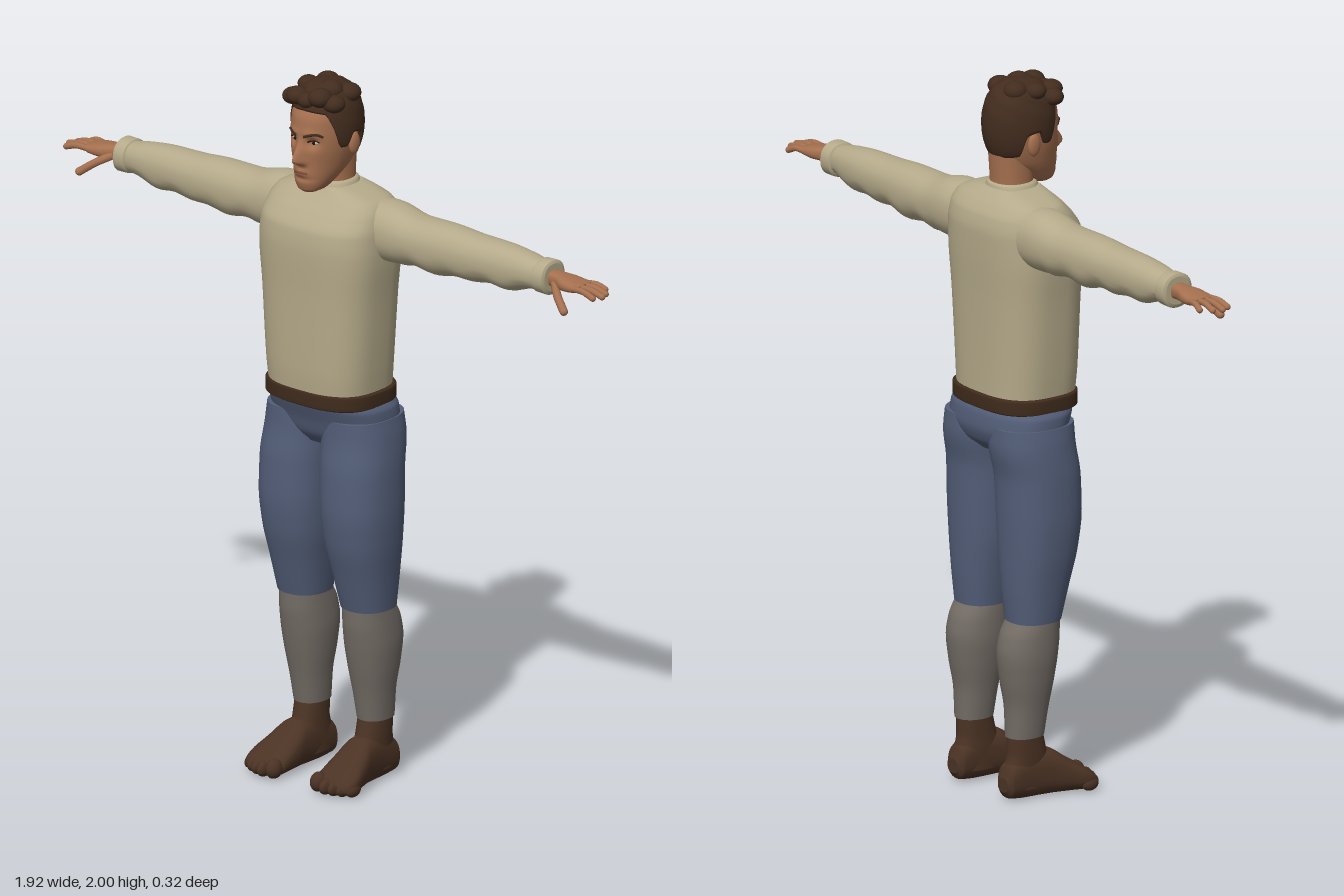
import * as THREE from 'three';

const mat = (name, color, side = THREE.FrontSide) => {
  const m = new THREE.MeshStandardMaterial({ color, side });
  m.name = name;
  return m;
};

// Smooth interpolation through rows keyed by their first column, without overshoot
function sample(rows, t) {
  let k = 0;
  while (k < rows.length - 2 && t > rows[k + 1][0]) k++;
  const slope = (i, c) => (rows[i + 1][c] - rows[i][c]) / (rows[i + 1][0] - rows[i][0]);
  const tangent = (i, c) => {
    if (i === 0) return slope(0, c);
    if (i === rows.length - 1) return slope(i - 1, c);
    const a = slope(i - 1, c), b = slope(i, c);
    return a * b <= 0 ? 0 : (2 * a * b) / (a + b);
  };
  const h = rows[k + 1][0] - rows[k][0], s = (t - rows[k][0]) / h, s2 = s * s, s3 = s2 * s;
  return rows[k].map((v, c) => c === 0 ? t
    : (2 * s3 - 3 * s2 + 1) * v + (s3 - 2 * s2 + s) * h * tangent(k, c)
      + (3 * s2 - 2 * s3) * rows[k + 1][c] + (s3 - s2) * h * tangent(k + 1, c));
}

// Skin rounded sections along an axis. Rows: y [y,x0,x1,z0,z1], x [x,y0,y1,z0,z1], z [z,x0,x1,y0,y1]
function loft(axis, rows, { power = 2.2, seg = 32, sub = 6, move } = {}) {
  const pos = [], idx = [], rings = (rows.length - 1) * sub + 1;
  const ring = (i) => {
    const k = Math.min(Math.floor(i / sub), rows.length - 2), f = (i - k * sub) / sub;
    const r = sample(rows, rows[k][0] + f * (rows[k + 1][0] - rows[k][0]));
    const [u0, u1, v0, v1] = axis === 'y' ? [r[3], r[4], r[1], r[2]] : r.slice(1);
    return { t: r[0], u: (u0 + u1) / 2, v: (v0 + v1) / 2, ru: (u1 - u0) / 2, rv: (v1 - v0) / 2 };
  };
  const put = (t, u, v) => {
    const p = axis === 'y' ? [v, t, u] : axis === 'x' ? [t, u, v] : [u, v, t];
    if (move) move(p);
    pos.push(...p);
  };
  const addRing = (r) => {
    for (let j = 0; j < seg; j++) {
      const a = (j / seg) * Math.PI * 2, c = Math.cos(a), s = Math.sin(a);
      put(r.t, r.u + r.ru * Math.sign(c) * Math.abs(c) ** (2 / power),
        r.v + r.rv * Math.sign(s) * Math.abs(s) ** (2 / power));
    }
  };
  for (let i = 0; i < rings; i++) addRing(ring(i));
  for (let i = 0; i < rings - 1; i++) for (let j = 0; j < seg; j++) {
    const a = i * seg + j, b = i * seg + (j + 1) % seg;
    idx.push(a, b, a + seg, b, b + seg, a + seg);
  }
  for (const end of [0, rings - 1]) {
    const r = ring(end), start = pos.length / 3;
    addRing(r);
    put(r.t, r.u, r.v);
    for (let j = 0; j < seg; j++) {
      const a = start + j, b = start + (j + 1) % seg;
      idx.push(start + seg, end ? a : b, end ? b : a);
    }
  }
  return surface(pos, idx);
}

function surface(pos, idx) {
  const g = new THREE.BufferGeometry();
  g.setAttribute('position', new THREE.Float32BufferAttribute(pos, 3));
  g.setIndex(idx);
  g.computeVertexNormals();
  return g;
}

const sym = (rows) => rows.map(([y, hx, z0, z1]) => [y, -hx, hx, z0, z1]);
const blob = (x, y, z, rx, ry, rz) => new THREE.SphereGeometry(1, 20, 14).scale(rx, ry, rz).translate(x, y, z);
const digit = (pts, r) => {
  const c = new THREE.CatmullRomCurve3(pts.map((p) => new THREE.Vector3(...p)));
  return [new THREE.TubeGeometry(c, 8, r, 10), blob(...pts.at(-1), r, r, r)];
};
const bump = (d, w) => Math.exp(-((d / w) ** 2));

export function createModel() {
  const model = new THREE.Group();
  model.name = 'standingMan';
  const skin = mat('skin', 0xa5704f), hairMat = mat('hair', 0x422c1e, THREE.DoubleSide);
  const wool = mat('sweater wool', 0xb5aa8a), denim = mat('trouser blue', 0x535e78);
  const sockMat = mat('sock grey', 0x736c65), shoeMat = mat('shoe brown', 0x4b3324);
  const leather = mat('belt leather', 0x3f2b1c), white = mat('eye white', 0xb9aea2);
  const dark = mat('iris dark', 0x20150f), lip = mat('lip', 0x85503f);

  const add = (name, geo, m) => {
    const mesh = new THREE.Mesh(geo, m);
    mesh.name = name;
    model.add(mesh);
  };
  const pair = (name, geo, m) => {
    add('left' + name, geo, m);
    const g = geo.clone().applyMatrix4(new THREE.Matrix4().makeScale(-1, 1, 1));
    const ix = g.index.array;
    for (let i = 0; i < ix.length; i += 3) [ix[i], ix[i + 1]] = [ix[i + 1], ix[i]];
    add('right' + name, g, m);
  };

  // Sweater body, collar and belt
  add('sweaterBody', loft('y', sym([[1.1, .165, -.142, .118], [1.2, .174, -.143, .125], [1.4, .188, -.148, .128],
    [1.53, .198, -.154, .132], [1.59, .196, -.155, .126], [1.635, .188, -.147, .098], [1.665, .172, -.128, .07],
    [1.685, .13, -.108, .052], [1.7, .075, -.092, .042]]), { power: 2.8, seg: 48 }), wool);
  add('collar', loft('y', sym([[1.675, .08, -.097, .052], [1.69, .074, -.094, .047], [1.708, .066, -.09, .04],
    [1.712, .06, -.085, .034]])), wool);
  add('belt', loft('y', sym([[1.088, .172, -.145, .117], [1.093, .178, -.15, .124], [1.128, .178, -.15, .124],
    [1.133, .17, -.145, .12]]), { power: 2.8, seg: 48, sub: 3 }), leather);

  // Sleeves with soft folds, and cuffs
  pair('Sleeve', loft('x', [[.1, 1.51, 1.67, -.125, .03], [.19, 1.505, 1.674, -.125, .03], [.3, 1.512, 1.655, -.115, .025],
    [.4, 1.51, 1.656, -.112, .022], [.5, 1.522, 1.65, -.106, .018], [.6, 1.523, 1.648, -.102, .012],
    [.68, 1.535, 1.64, -.094, .006], [.735, 1.547, 1.63, -.085, -.002]], {
    move: (p) => { if (p[0] > .25 && p[1] < 1.57) p[1] += .004 * Math.sin(p[0] * 48 + p[2] * 20); },
  }), wool);
  pair('Cuff', loft('x', [[.727, 1.548, 1.628, -.085, -.003], [.732, 1.541, 1.636, -.094, .005], [.765, 1.54, 1.637, -.094, .005],
    [.77, 1.55, 1.628, -.084, -.005]], { sub: 3 }), wool);

  // Hands
  pair('Palm', loft('x', [[.75, 1.565, 1.612, -.067, -.02], [.79, 1.568, 1.61, -.07, -.017], [.83, 1.568, 1.606, -.08, -.003],
    [.865, 1.572, 1.6, -.082, -.002], [.882, 1.578, 1.596, -.076, -.01]], { power: 2.6, seg: 24 }), skin);
  [[-.074, -.084, .927], [-.053, -.058, .951], [-.032, -.032, .961], [-.011, -.007, .949]].forEach(([z0, z1, tip], i) => {
    digit([[.862, 1.587, z0], [(.862 + tip) / 2, 1.588, (z0 + z1) / 2], [tip - .008, 1.578, z1]], .0088)
      .forEach((g, k) => pair(['Finger', 'Fingertip'][k] + (i + 1), g, skin));
  });
  digit([[.79, 1.582, -.025], [.825, 1.562, .005], [.866, 1.532, .026]], .0115)
    .forEach((g, k) => pair(['Thumb', 'ThumbTip'][k], g, skin));

  // Trousers
  add('trouserSeat', loft('y', sym([[.965, .09, -.11, .05], [1.0, .165, -.145, .075], [1.04, .19, -.156, .088],
    [1.075, .188, -.153, .102], [1.1, .172, -.143, .112]]), { power: 2.5, seg: 48 }), denim);
  pair('TrouserLeg', loft('y', [[.5, .042, .184, -.113, .037], [.6, .027, .196, -.122, .063], [.7, .011, .209, -.127, .088],
    [.8, .004, .215, -.131, .099], [.9, .001, .213, -.135, .097], [1.0, -.003, .203, -.152, .086],
    [1.05, .01, .193, -.15, .085]], { power: 2.3 }), denim);

  // Long socks
  pair('Sock', loft('y', [[.175, .068, .158, -.122, -.012], [.25, .06, .166, -.123, 0], [.34, .047, .179, -.137, .018],
    [.41, .041, .185, -.144, .029], [.46, .042, .184, -.135, .034], [.505, .044, .182, -.11, .034]]), sockMat);

  // Shoes shaped like feet, with toes
  pair('ShoeAnkle', loft('y', [[.03, .07, .152, -.135, .02], [.08, .07, .152, -.13, .015], [.13, .071, .154, -.118, -.002],
    [.185, .071, .155, -.118, -.016]]), shoeMat);
  pair('ShoeFoot', loft('z', [[-.14, .09, .135, .025, .065], [-.125, .075, .148, .006, .1], [-.06, .07, .155, 0, .135],
    [0, .066, .165, 0, .13], [.05, .06, .18, 0, .1], [.1, .058, .192, 0, .068], [.128, .064, .186, .004, .048],
    [.138, .08, .17, .012, .036]], { power: 2.5 }), shoeMat);
  [[.08, .13, .022, .028], [.111, .134, .014, .022], [.136, .128, .013, .021], [.159, .118, .013, .02], [.181, .104, .014, .019]]
    .forEach(([x, z, rx, ry], i) => pair('Toe' + (i + 1), blob(x, ry + .002, z, rx, ry, .027), shoeMat));

  // Neck and sculpted head
  add('neck', loft('y', sym([[1.66, .064, -.09, .034], [1.71, .057, -.083, .032], [1.76, .058, -.086, .036],
    [1.81, .06, -.09, .04]])), skin);
  const head = loft('y', sym([[1.694, .022, .05, .095], [1.703, .038, .025, .105], [1.73, .054, -.02, .112],
    [1.77, .069, -.07, .112], [1.82, .08, -.088, .115], [1.86, .084, -.094, .113], [1.9, .084, -.094, .109],
    [1.94, .074, -.08, .09], [1.97, .045, -.05, .055]]), {
    power: 2.3, seg: 96, sub: 9, move: (p) => {
      if (p[2] < .03) return;
      const [x, y] = p, ax = Math.abs(x);
      p[0] *= 1 - 1.1 * (p[2] - .03);
      p[2] += .034 * bump(x, .014) * bump(y - 1.79, y > 1.79 ? .036 : .011)
        + .007 * bump(ax - .014, .008) * bump(y - 1.786, .01)
        - .013 * bump(ax - .036, .017) * bump(y - 1.84, .014)
        + .004 * bump(ax - .03, .025) * bump(y - 1.866, .01)
        + .006 * bump(x, .022) * bump(y - 1.753, .011)
        - .004 * bump(x, .03) * bump(y - 1.735, .006);
    },
  });
  add('head', head, skin);
  const faceZ = (x, y) => {
    const p = head.attributes.position;
    let best = 1, z = 0;
    for (let i = 0; i < p.count; i++) {
      const d = Math.hypot(p.getX(i) - x, p.getY(i) - y);
      if (p.getZ(i) > .02 && d < best) { best = d; z = p.getZ(i); }
    }
    return z;
  };
  pair('Ear', blob(.084, 1.825, -.012, .011, .032, .02), skin);

  // Eyes, brows and mouth
  const eyeZ = faceZ(.034, 1.84);
  pair('Eye', blob(.034, 1.84, eyeZ - .006, .014, .006, .009), white);
  pair('Iris', blob(.033, 1.84, eyeZ, .006, .0055, .005), dark);
  const strip = (pts, r) => new THREE.TubeGeometry(new THREE.CatmullRomCurve3(
    pts.map(([x, y]) => new THREE.Vector3(x, y, faceZ(x, y)))), 10, r, 6);
  pair('Brow', strip([[.012, 1.858], [.03, 1.865], [.046, 1.867], [.058, 1.86]], .004), hairMat);
  pair('Eyelid', strip([[.02, 1.843], [.034, 1.848], [.05, 1.843]], .0022), dark);
  add('mouth', strip([[-.023, 1.753], [0, 1.755], [.023, 1.753]], .0035), lip);

  // Hair cap whose lower edge follows the hairline, rippled on top
  const hairline = [[0, 1.928], [40, 1.922], [55, 1.88], [68, 1.825], [78, 1.825], [90, 1.862], [110, 1.855],
    [124, 1.795], [180, 1.785]];
  const pos = [], idx = [], seg = 96, rows = 28;
  for (let i = 0; i <= rows; i++) for (let j = 0; j < seg; j++) {
    const a = (j / seg) * Math.PI * 2, deg = Math.abs(((a * 180 / Math.PI + 180) % 360) - 180);
    const low = Math.asin((sample(hairline, deg)[1] - 1.87) / .125);
    const e = low + (Math.PI / 2 - low) * Math.max(0, i - 1) / (rows - 1);
    const wave = 1 + .03 * Math.sin(5 * a + 7 * e) * Math.sin(9 * e) * Math.max(0, Math.sin(e)) * Math.cos(e);
    const r = Math.max(0, Math.cos(e)) ** .72 * wave * (i === 0 ? .82 : 1);
    pos.push(Math.sin(a) * r * .096, 1.87 + .125 * Math.sin(e) * wave, .002 + Math.cos(a) * r * .108);
    if (i < rows) {
      const p = i * seg + j, q = i * seg + (j + 1) % seg;
      idx.push(p, q, p + seg, q, q + seg, p + seg);
    }
  }
  add('hairCap', surface(pos, idx), hairMat);
  [[-.07, 1.945, .062, .03], [-.038, 1.958, .08, .032], [0, 1.953, .084, .028], [.036, 1.965, .074, .034],
    [.07, 1.95, .055, .031], [-.06, 1.968, .01, .03], [.028, 1.972, .02, .036], [.058, 1.962, -.02, .034],
    [-.03, 1.97, -.035, .034]]
    .forEach(([x, y, z, r], i) => add('hairLock' + (i + 1), blob(x, y, z, r, r * .78, r), hairMat));
  return model;
}
